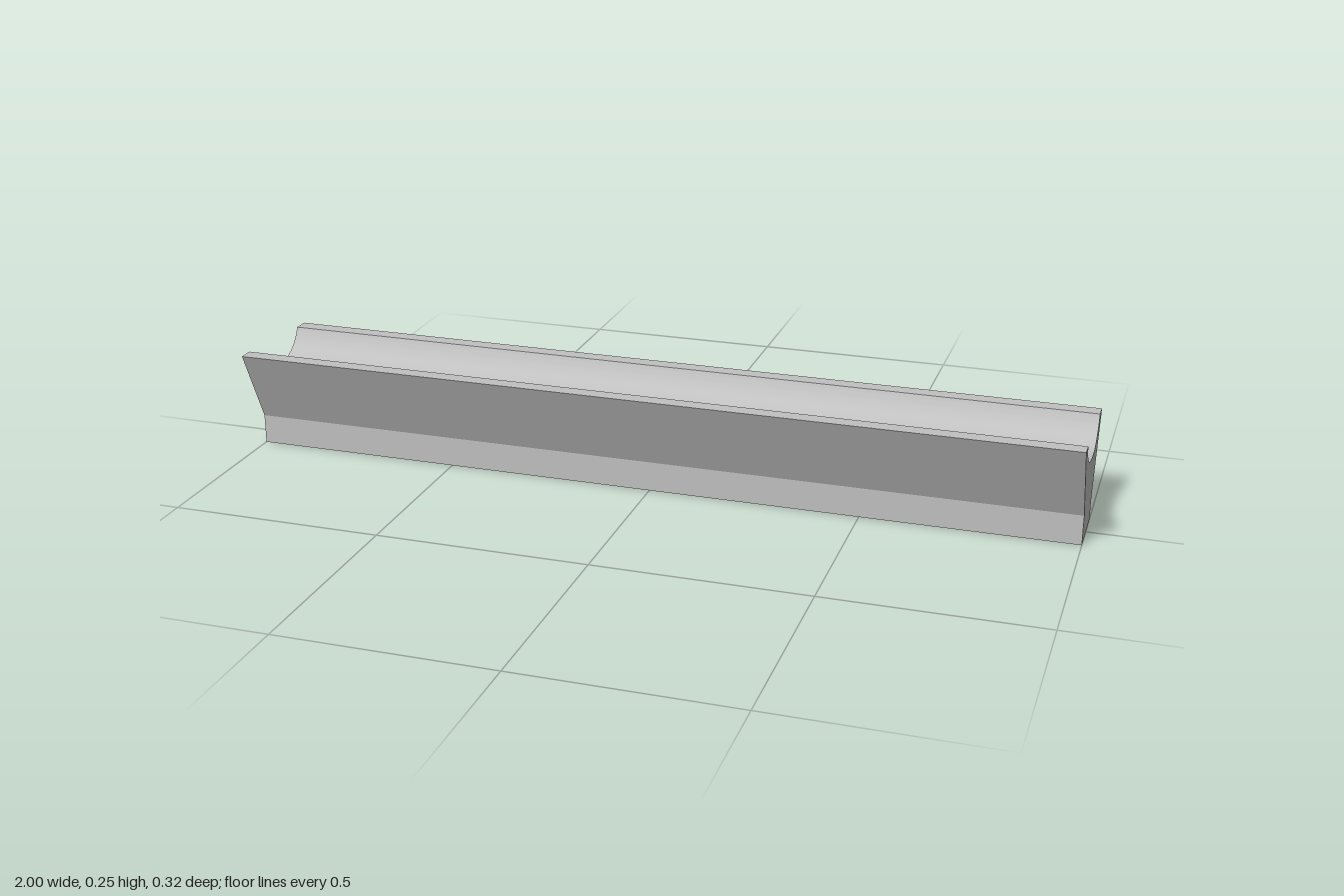
import * as THREE from 'three';
import { toCreasedNormals } from 'three/addons/utils/BufferGeometryUtils.js';

const LENGTH = 2;

// Cross-section: square foot, flared walls, lopsided trough; shape x runs towards the back
function railProfile() {
  const s = new THREE.Shape();
  s.moveTo(-0.075, 0.001);
  s.lineTo(0.074, 0.001);
  s.lineTo(0.074, 0.057);
  s.lineTo(0.159, 0.238);
  s.lineTo(0.122, 0.238);
  // trough, short steep side then long shallow side
  s.bezierCurveTo(0.106, 0.199, 0.072, 0.176, 0.034, 0.176);
  s.bezierCurveTo(-0.035, 0.176, -0.107, 0.2, -0.123, 0.254);
  s.lineTo(-0.16, 0.254);
  s.lineTo(-0.075, 0.072);
  s.closePath();
  return s;
}

export function createModel() {
  const model = new THREE.Group();
  model.name = 'troughRail';

  const grey = new THREE.MeshStandardMaterial({ color: 0xc0c0c0 });
  grey.name = 'light grey';

  // Extrude along the length, centred on x
  const extruded = new THREE.ExtrudeGeometry(railProfile(), {
    depth: LENGTH, bevelEnabled: false, curveSegments: 20,
  });
  extruded.translate(0, -0.001, -LENGTH / 2);
  extruded.rotateY(Math.PI / 2);

  const rail = new THREE.Mesh(toCreasedNormals(extruded, Math.PI / 9), grey);
  rail.name = 'rail';
  model.add(rail);
  return model;
}
